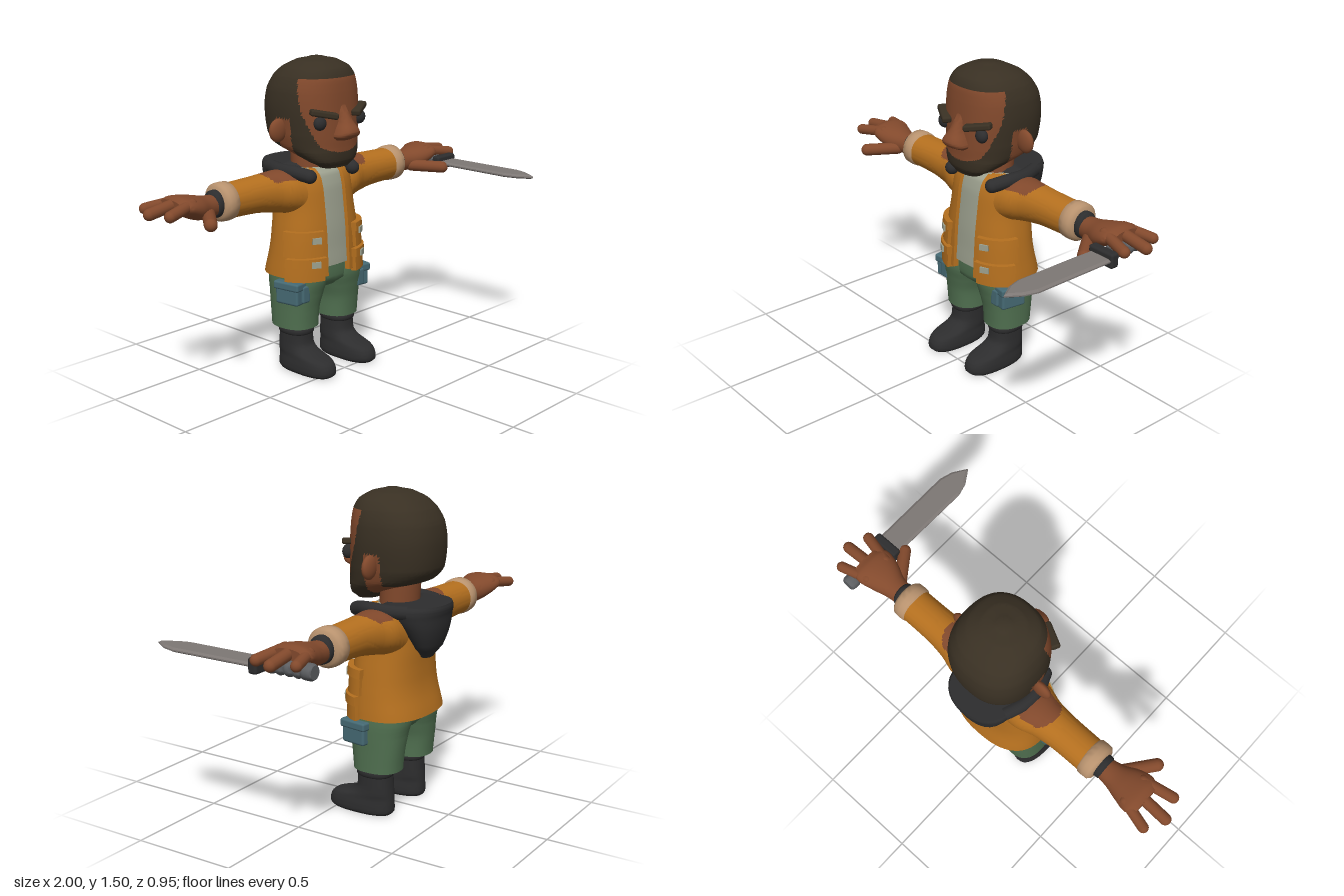
import * as THREE from 'three';
import { toCreasedNormals } from 'three/addons/utils/BufferGeometryUtils.js';
import { RoundedBoxGeometry } from 'three/addons/geometries/RoundedBoxGeometry.js';

const paint = (name, color) => Object.assign(new THREE.MeshStandardMaterial({ color }), { name });
const skin = paint('skin', 0x82492c), hair = paint('hair', 0x393023), orange = paint('jacket orange', 0xb5701f);
const shirtGrey = paint('shirt grey', 0x9da18f), green = paint('trouser green', 0x507050), teal = paint('pouch teal', 0x466a74);
const dark = paint('charcoal', 0x2d2d2e), tan = paint('cuff tan', 0xb8926e), bladeGrey = paint('blade grey', 0x7d7774);
const steel = paint('handle steel', 0x5d5f62);

// A ring is [y, centre x, half width, front z, back z]; rings are joined by smooth interpolation.
function ringAt(rings, y) {
  let k = 0;
  while (k < rings.length - 2 && y > rings[k + 1][0]) k++;
  const f = (y - rings[k][0]) / (rings[k + 1][0] - rings[k][0]);
  const at = (i) => rings[Math.min(Math.max(i, 0), rings.length - 1)];
  return rings[k].map((b, c) => {
    const a = at(k - 1)[c], d = at(k + 1)[c], e = at(k + 2)[c];
    return c === 0 ? y : b + 0.5 * f * (d - a + f * (2 * a - 5 * b + 4 * d - e + f * (3 * (b - d) + e - a)));
  });
}

// Point on a superellipse ring: t = 0 is the front, t = PI / 2 is +x
function ringPoint(rings, y, t, p, off = 0) {
  const [, cx, w, zf, zb] = ringAt(rings, y);
  const pw = (v) => Math.sign(v) * Math.abs(v) ** p;
  return [cx + (w + off) * pw(Math.sin(t)), y, (zf + zb) / 2 + ((zf - zb) / 2 + off) * pw(Math.cos(t))];
}

// Builds a geometry; pick(x, y, z) sorts faces into material groups
function build(pos, tris, crease, pick) {
  const buckets = [];
  for (const t of tris) {
    const c = [0, 1, 2].map((a) => (pos[t[0]][a] + pos[t[1]][a] + pos[t[2]][a]) / 3);
    const m = pick ? pick(...c) : 0;
    (buckets[m] ??= []).push(...t);
  }
  const g = new THREE.BufferGeometry();
  g.setAttribute('position', new THREE.Float32BufferAttribute(pos.flat(), 3));
  g.setIndex(buckets.flat());
  let start = 0;
  if (pick) buckets.forEach((b, m) => { g.addGroup(start, b.length, m); start += b.length; });
  return toCreasedNormals(g, crease);
}

// Closed body through rings
function loft(rings, { nu = 32, seg = 5, p = 0.85, crease = 0.9, pick } = {}) {
  const pos = [], tris = [], nv = (rings.length - 1) * seg;
  for (let j = 0; j <= nv; j++) {
    const k = Math.min(Math.floor(j / seg), rings.length - 2), f = j / seg - k;
    const y = rings[k][0] + f * (rings[k + 1][0] - rings[k][0]);
    for (let i = 0; i < nu; i++) pos.push(ringPoint(rings, y, (i / nu) * Math.PI * 2, p));
  }
  for (const r of [rings[0], rings.at(-1)]) pos.push([r[1], r[0], (r[3] + r[4]) / 2]);
  const lo = pos.length - 2, hi = lo + 1, last = nv * nu;
  for (let i = 0; i < nu; i++) {
    const n = (i + 1) % nu;
    for (let j = 0; j < nv; j++) {
      const a = j * nu + i, b = j * nu + n;
      tris.push([a, b, b + nu], [a, b + nu, a + nu]);
    }
    tris.push([lo, n, i], [hi, last + i, last + n]);
  }
  return build(pos, tris, crease, pick);
}

// Thick panel wrapped over rings between two heights and the angles span(y)
function slab(rings, y0, y1, span, inner, outer, nu, nv, p) {
  const pos = [], tris = [], L = 2 * (nv + 1);
  for (let i = 0; i <= nu; i++) for (let j = 0; j < L; j++) {
    const out = j <= nv, y = y0 + (y1 - y0) * (out ? j : L - 1 - j) / nv, [a, b] = span(y);
    pos.push(ringPoint(rings, y, a + (b - a) * i / nu, p, out ? outer : inner));
  }
  for (let i = 0; i < nu; i++) for (let j = 0; j < L; j++) {
    const a = i * L + j, d = i * L + (j + 1) % L;
    tris.push([a, a + L, d + L], [a, d + L, d]);
  }
  for (let j = 0; j < nv; j++) {
    const k = L - 1 - j, e = nu * L;
    tris.push([j, j + 1, k - 1], [j, k - 1, k], [e + j, e + k - 1, e + j + 1], [e + j, e + k, e + k - 1]);
  }
  return build(pos, tris, 0.7);
}

// Reflects a geometry to the other side
function mirrored(geo) {
  const g = geo.clone().applyMatrix4(new THREE.Matrix4().makeScale(-1, 1, 1));
  const src = g.index ? [...g.index.array] : Array.from({ length: g.attributes.position.count }, (_, i) => i);
  for (let i = 0; i < src.length; i += 3) [src[i + 1], src[i + 2]] = [src[i + 2], src[i + 1]];
  return g.setIndex(src);
}

function capsule(a, b, r) {
  const A = new THREE.Vector3(...a), B = new THREE.Vector3(...b), d = B.clone().sub(A);
  const q = new THREE.Quaternion().setFromUnitVectors(new THREE.Vector3(0, 1, 0), d.clone().normalize());
  const m = A.clone().add(B).multiplyScalar(0.5);
  return new THREE.CapsuleGeometry(r, d.length(), 6, 14).applyQuaternion(q).translate(m.x, m.y, m.z);
}
const ball = (x, y, z, a, b, c) => new THREE.SphereGeometry(1, 24, 16).scale(a, b, c).translate(x, y, z);
const along = (rings, opt) => loft(rings, opt).rotateZ(-Math.PI / 2); // rings run along +x, centre is -y

export function createModel() {
  const model = new THREE.Group();
  model.name = 'character';
  const add = (name, geo, mat) => {
    const m = new THREE.Mesh(geo, mat);
    m.name = name;
    model.add(m);
  };
  const pair = (name, geo, mat) => {
    add('left ' + name, geo, mat);
    add('right ' + name, mirrored(geo), mat);
  };

  // Head with hair, beard and bare patches around the ears
  const headRings = [[1, 0, 0.08, -0.02, -0.12], [1.03, 0, 0.13, -0.005, -0.16], [1.07, 0, 0.168, 0, -0.27], [1.1, 0, 0.187, 0, -0.37],
    [1.15, 0, 0.2, 0, -0.415], [1.27, 0, 0.21, -0.005, -0.425], [1.36, 0, 0.203, -0.01, -0.41], [1.42, 0, 0.182, -0.018, -0.375],
    [1.46, 0, 0.15, -0.04, -0.33], [1.49, 0, 0.095, -0.09, -0.27], [1.505, 0, 0.03, -0.15, -0.21]];
  const headPick = (x, y, z) => {
    const edge = y > 1.27 ? -0.1 - (y - 1.27) * 0.2 : -0.1 + (1.27 - y) * 0.4;
    const face = z > edge && y < 1.42 && y > 1.075 + x * x * 2;
    const ear = z < -0.155 && z > -0.24 && y < 1.235;
    return face || ear || (z < -0.16 && y < 1.085) ? 0 : 1;
  };
  add('head', loft(headRings, { nu: 112, seg: 8, pick: headPick }), [skin, hair]);
  add('neck', loft([[0.93, 0, 0.1, -0.13, -0.31], [1.12, 0, 0.1, -0.14, -0.32]], { p: 1 }), skin);
  add('nose', loft([[1.133, 0, 0.05, 0.02, -0.06], [1.15, 0, 0.067, 0.055, -0.06], [1.175, 0, 0.06, 0.068, -0.06],
    [1.22, 0, 0.038, 0.04, -0.06], [1.26, 0, 0.03, 0.015, -0.06], [1.3, 0, 0.028, -0.008, -0.06]], { p: 0.8, nu: 24 }), skin);
  pair('ear', ball(0.23, 1.18, -0.205, 0.053, 0.055, 0.024), skin);
  pair('eye', ball(0.132, 1.22, -0.03, 0.033, 0.033, 0.026), dark);
  pair('eyebrow', new RoundedBoxGeometry(0.135, 0.03, 0.045, 2, 0.01).rotateZ(0.2).rotateY(0.5).translate(0.117, 1.262, -0.018), hair);

  // Shirt and open jacket
  const P = 0.83;
  const torso = [[0.46, 0, 0.25, -0.03, -0.4], [0.6, 0, 0.235, -0.035, -0.368], [0.7, 0, 0.222, -0.04, -0.36],
    [0.8, 0, 0.207, -0.05, -0.36], [0.9, 0, 0.2, -0.062, -0.352], [0.96, 0, 0.185, -0.08, -0.335], [0.987, 0, 0.14, -0.11, -0.3]];
  const shirt = torso.map(([y, x, w, f, b]) => [Math.max(y, 0.52), x, w - 0.015, f - 0.015, b + 0.015]);
  add('shirt', loft(shirt, { p: P }), shirtGrey);
  const opening = (y) => Math.asin((0.073 / ringAt(torso, y)[2]) ** (1 / P));
  add('jacket', slab(torso, 0.478, 0.987, (y) => [opening(y), Math.PI * 2 - opening(y)], -0.035, 0, 64, 24, P), orange);
  for (const [name, y0, y1, a, b, by] of [['upper pocket', 0.585, 0.7, 0.4, 1.42, 0.665], ['lower pocket', 0.465, 0.572, 0.34, 1.3, 0.55]]) {
    pair(name, slab(torso, y0, y1, () => [a, b], -0.01, 0.016, 14, 4, P), orange);
    pair(name + ' flap', slab(torso, y1 - 0.035, y1 + 0.006, () => [a - 0.02, b + 0.02], -0.01, 0.025, 14, 2, P), orange);
    const [x, y, z] = ringPoint(torso, by, 0.56, P, 0.026);
    pair(name + ' buckle', new THREE.BoxGeometry(0.045, 0.03, 0.009).rotateY(0.5).translate(x, y, z), shirtGrey);
  }

  // Hood hanging behind, with its collar ends over the shoulders
  add('hood', loft([[0.75, 0, 0.04, -0.35, -0.395], [0.8, 0, 0.09, -0.33, -0.43], [0.88, 0, 0.135, -0.28, -0.455],
    [0.95, 0, 0.165, -0.2, -0.465], [0.985, 0, 0.168, -0.17, -0.472], [1.003, 0, 0.155, -0.19, -0.468]], { p: 0.9 }), dark);
  const collar = new THREE.CatmullRomCurve3([[0.145, 0.965, -0.085], [0.175, 0.98, -0.16], [0.175, 0.978, -0.25], [0.14, 0.975, -0.35]]
    .map((v) => new THREE.Vector3(...v)));
  pair('hood collar', new THREE.TubeGeometry(collar, 16, 0.033, 12), dark);
  pair('hood collar end', ball(0.145, 0.965, -0.085, 0.033, 0.033, 0.033), dark);

  // Sleeves with bare shoulder patches, cuffs and wristbands
  const sleeve = [[0.1, -0.86, 0.11, -0.09, -0.34], [0.2, -0.884, 0.103, -0.1, -0.34], [0.28, -0.893, 0.095, -0.125, -0.318],
    [0.38, -0.899, 0.085, -0.135, -0.306], [0.55, -0.9, 0.08, -0.137, -0.304]];
  const patch = (x, y, z) => (-x > 0.952 && Math.hypot((y - 0.23) / 0.1, (z + 0.215) / 0.1) < 1 ? 1 : 0);
  pair('sleeve', along(sleeve, { nu: 64, seg: 10, p: 0.95, pick: patch }), [orange, skin]);
  const tube = (x0, x1, y, ry, z, rz, e) => along([[x0, ry - e, rz - e], [x0 + e, ry, rz], [x1 - e, ry, rz], [x1, ry - e, rz - e]]
    .map(([x, a, b]) => [x, -y, a, z + b, z - b]), { p: 1, seg: 2 });
  pair('cuff', tube(0.525, 0.605, 0.902, 0.088, -0.22, 0.09, 0.014), tan);
  pair('wristband', tube(0.59, 0.635, 0.9, 0.063, -0.218, 0.057, 0.008), dark);

  // Hands
  pair('palm', along([[0.6, -0.895, 0.048, -0.17, -0.268], [0.68, -0.897, 0.052, -0.155, -0.278], [0.75, -0.91, 0.055, -0.125, -0.3],
    [0.82, -0.93, 0.043, -0.118, -0.318], [0.86, -0.938, 0.024, -0.15, -0.295]], { p: 0.95 }), skin);
  const fingers = [['little finger', [0.79, 0.935, -0.28], [0.925, 0.92, -0.315], 0.025], ['middle finger', [0.8, 0.945, -0.22], [0.973, 0.918, -0.222], 0.027],
    ['index finger', [0.79, 0.94, -0.16], [0.938, 0.918, -0.125], 0.026], ['thumb', [0.69, 0.875, -0.17], [0.785, 0.868, -0.045], 0.03]];
  for (const [name, a, b, r] of fingers) pair(name, capsule(a, b, r), skin);

  // Knife held in the left hand
  const knifeX = 0.855, knifeY = 0.882;
  const outline = [[-0.05, -0.1], [0.05, -0.1], [0.052, 0.34], [0.035, 0.4], [0, 0.457], [-0.035, 0.4], [-0.052, 0.34]];
  const blade = new THREE.ExtrudeGeometry(new THREE.Shape(outline.map((v) => new THREE.Vector2(...v))),
    { depth: 0.006, bevelThickness: 0.007, bevelSize: 0.012, bevelSegments: 1 });
  add('knife blade', blade.rotateX(Math.PI / 2).translate(knifeX, knifeY + 0.003, 0), bladeGrey);
  add('knife guard', new RoundedBoxGeometry(0.14, 0.07, 0.045, 2, 0.012).translate(knifeX, knifeY, -0.09), dark);
  const grip = [[-0.355, 0.03], [-0.345, 0.036], [-0.31, 0.036], [-0.3, 0.029]];
  for (let i = 0; i < 4; i++) grip.push([-0.28 + i * 0.045, 0.037], [-0.257 + i * 0.045, 0.03]);
  add('knife handle', loft(grip.map(([y, r]) => [y, 0, r, r, -r]), { p: 1, nu: 20, seg: 3 })
    .rotateX(Math.PI / 2).translate(knifeX, knifeY, 0), steel);

  // Trousers and hip pouches
  add('trouser hips', loft([[0.405, 0, 0.1, -0.1, -0.3], [0.44, 0, 0.2, -0.06, -0.335], [0.54, 0, 0.215, -0.055, -0.345]], { p: 0.9 }), green);
  pair('trouser leg', loft([[0.22, 0.137, 0.098, -0.085, -0.315], [0.32, 0.136, 0.1, -0.075, -0.325],
    [0.4, 0.126, 0.112, -0.06, -0.335], [0.45, 0.118, 0.12, -0.05, -0.345], [0.52, 0.115, 0.118, -0.05, -0.345]]), green);
  pair('pouch', new RoundedBoxGeometry(0.07, 0.11, 0.13, 2, 0.012).rotateY(-0.15).translate(0.225, 0.41, -0.14), teal);
  pair('pouch flap', new RoundedBoxGeometry(0.084, 0.04, 0.145, 2, 0.01).rotateY(-0.15).translate(0.225, 0.447, -0.14), teal);
  pair('pouch strap', new RoundedBoxGeometry(0.05, 0.085, 0.04, 2, 0.01).translate(0.19, 0.405, -0.085), teal);

  // Boots
  pair('boot', loft([[0, 0.142, 0.07, 0.04, -0.272], [0.012, 0.142, 0.078, 0.052, -0.28], [0.045, 0.142, 0.078, 0.05, -0.28],
    [0.075, 0.142, 0.074, 0.025, -0.278], [0.1, 0.142, 0.072, -0.06, -0.276], [0.13, 0.142, 0.07, -0.1, -0.273],
    [0.2, 0.142, 0.069, -0.107, -0.268]], { p: 0.8 }), dark);
  pair('boot collar', loft([[0.185, 0.142, 0.07, -0.105, -0.27], [0.192, 0.142, 0.075, -0.1, -0.275], [0.213, 0.142, 0.075, -0.1, -0.275],
    [0.222, 0.142, 0.07, -0.105, -0.27]], { p: 0.85, seg: 2 }), dark);
  return model;
}
